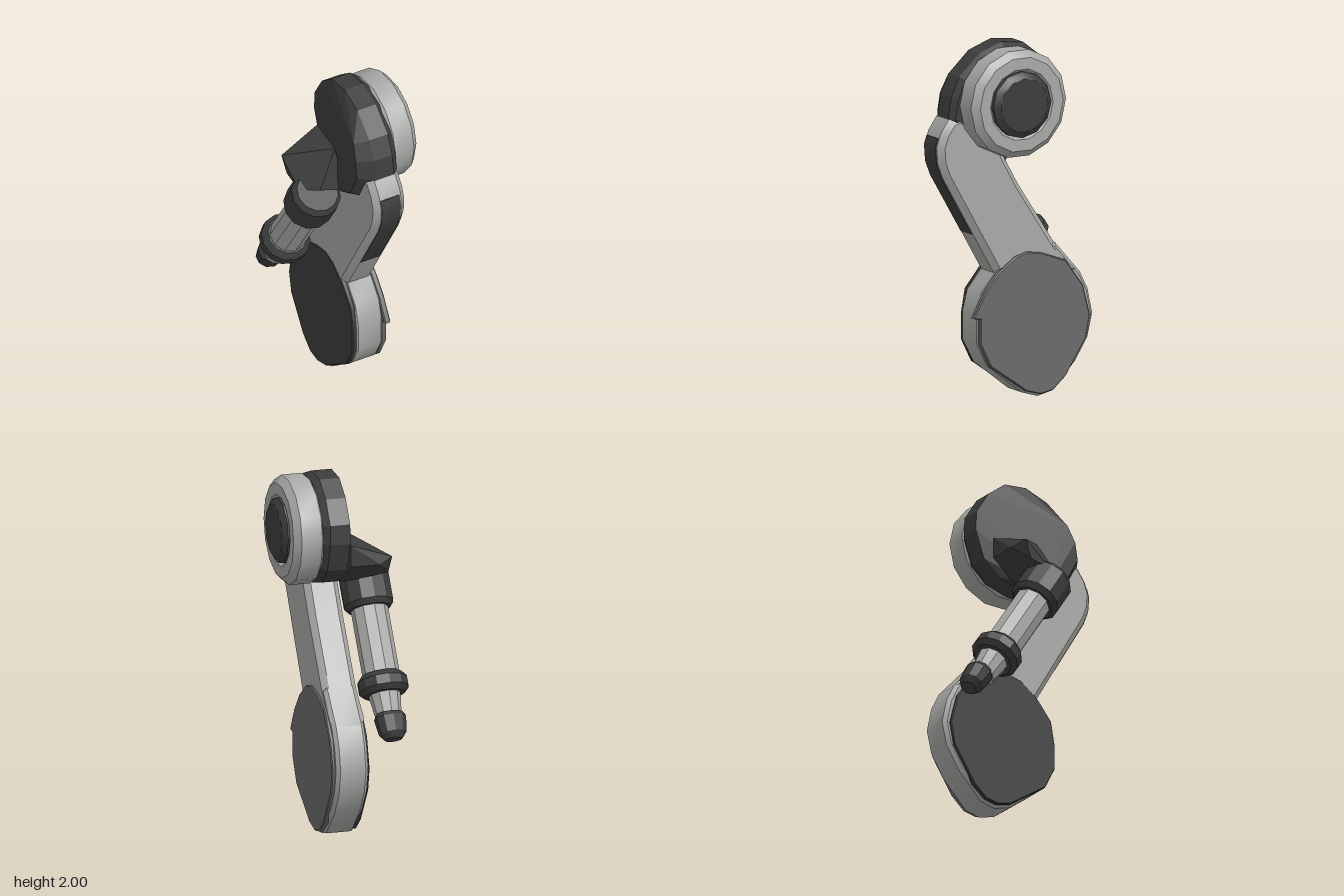
import * as THREE from 'three';
import { ConvexGeometry } from 'three/addons/geometries/ConvexGeometry.js';
import { toCreasedNormals } from 'three/addons/utils/BufferGeometryUtils.js';

const light = new THREE.MeshStandardMaterial({ color: 0xa8a8a6 });
light.name = 'light grey metal';
const mid = new THREE.MeshStandardMaterial({ color: 0x6a6a6a });
mid.name = 'mid grey metal';
const dark = new THREE.MeshStandardMaterial({ color: 0x3c3c3c });
dark.name = 'dark rubber';

const v2 = (list) => list.map(([a, b]) => new THREE.Vector2(a, b));
const clamp01 = (t) => THREE.MathUtils.clamp(t, 0, 1);

// Side outline of [z, y] points, extruded between x0 and x1
function slab(outline, x0, x1, bevel) {
  const geo = new THREE.ExtrudeGeometry(new THREE.Shape(v2(outline)), {
    depth: x1 - x0 - 2 * bevel, bevelEnabled: bevel > 0, bevelSegments: 1,
    bevelSize: bevel, bevelThickness: bevel, bevelOffset: -bevel,
  });
  return toCreasedNormals(geo.rotateY(-Math.PI / 2).translate(x1 - bevel, 0, 0), 0.6);
}

// Turned part from [radius, height] points; under 13 sides it stays faceted
function turned(profile, sides) {
  return toCreasedNormals(new THREE.LatheGeometry(v2(profile), sides), 0.5);
}

export function createModel() {
  const model = new THREE.Group();
  const add = (name, geo, mat, parent = model) => {
    const mesh = new THREE.Mesh(geo, mat);
    mesh.name = name;
    parent.add(mesh);
    return mesh;
  };

  // Upper arm, slightly thicker than the round lower end
  add('upperArm', slab([
    [0.42, 1.6], [0.36, 1.62], [0.1, 1.42], [0.07, 1.36], [-0.02, 1.2], [-0.25, 0.85],
    [-0.41, 0.67], [0.13, 0.71], [0.46, 1.28], [0.49, 1.36], [0.497, 1.45], [0.47, 1.53],
  ], -0.047, 0.15, 0.033), light);
  add('lowerArm', slab([
    [-0.25, 0.85], [-0.41, 0.67], [-0.46, 0.57], [-0.49, 0.43], [-0.46, 0.3], [-0.38, 0.17],
    [-0.23, 0.02], [-0.14, 0], [-0.04, 0.03], [0.18, 0.2], [0.25, 0.33], [0.25, 0.5],
    [0.22, 0.61], [0.13, 0.72], [0.1, 0.8],
  ], -0.037, 0.148, 0.02), light);

  // Dark pad along the front edge of the arm
  add('frontPad', slab([
    [0.46, 1.5], [0.485, 1.45], [0.475, 1.36], [0.445, 1.285], [0.25, 0.945],
    [0.266, 0.94], [0.464, 1.279], [0.494, 1.359], [0.501, 1.451], [0.485, 1.5],
  ], -0.012, 0.108, 0), dark);

  // Shoulder housing, its inner side slanting outwards to the front
  const headOutline = [
    [0.42, 1.6], [0.4, 1.72], [0.35, 1.83], [0.22, 1.95], [0.08, 2], [-0.06, 1.985],
    [-0.17, 1.9], [-0.25, 1.77], [-0.255, 1.66], [-0.2, 1.5], [-0.1, 1.41], [0.05, 1.37],
    [0.2, 1.36], [0.33, 1.43],
  ];
  const headPoints = headOutline.flatMap(([z, y]) => {
    const slant = clamp01((z + 0.2) / 0.4) * clamp01((2 - y) / 0.2);
    return [
      new THREE.Vector3(0.145, 1.68 + (y - 1.68) * 0.92, 0.07 + (z - 0.07) * 0.92),
      new THREE.Vector3(0.11, y, z),
      new THREE.Vector3(-0.005, y, z),
      new THREE.Vector3(-0.01 - 0.082 * slant, 1.66 + (y - 1.66) * 0.85, 0.07 + (z - 0.07) * 0.85),
    ];
  });
  add('shoulderHousing', new ConvexGeometry(headPoints), dark);

  // Shoulder disc with recessed ring and hub
  const shoulder = new THREE.Group();
  shoulder.name = 'shoulderDisc';
  shoulder.position.set(0, 1.68, 0.065);
  shoulder.rotation.z = -Math.PI / 2;
  model.add(shoulder);
  add('discRim', turned([
    [0, 0.13], [0.285, 0.13], [0.304, 0.15], [0.304, 0.268], [0.265, 0.304],
    [0.2, 0.304], [0.184, 0.285], [0, 0.285],
  ], 14), light, shoulder);
  add('discHub', turned([[0.185, 0.27], [0.185, 0.308], [0.15, 0.333], [0, 0.333]], 12), dark, shoulder);

  // Round covers on both faces of the lower end
  const cover = [
    [0.29, 0.48], [0.22, 0.61], [0.13, 0.72], [0.02, 0.8], [-0.06, 0.82], [-0.15, 0.805],
    [-0.3, 0.75], [-0.41, 0.6], [-0.455, 0.43], [-0.43, 0.3], [-0.3, 0.1], [-0.22, 0.03],
    [-0.14, 0.015], [-0.05, 0.04], [0.18, 0.2], [0.245, 0.33], [0.245, 0.47],
  ];
  add('outerCover', slab(cover, 0.13, 0.166, 0.006), mid);
  add('innerCover', slab(cover.slice(1), -0.051, -0.02, 0.005), dark);

  // Wedge joining the housing to the piston
  add('pistonBracket', new ConvexGeometry([
    [-0.29, 1.53, -0.12], [-0.21, 1.5, -0.16], [-0.04, 1.62, -0.16], [-0.04, 1.5, -0.16],
    [-0.04, 1.38, -0.02], [-0.08, 1.64, 0.1], [-0.2, 1.43, 0.15], [-0.04, 1.38, 0.15],
    [-0.28, 1.4, 0.05], [-0.28, 1.43, -0.08],
  ].map((p) => new THREE.Vector3(...p))), dark);

  // Slanted piston: collars, rod and tip on one axis
  const piston = new THREE.Group();
  piston.name = 'piston';
  piston.position.set(-0.195, 1.212, -0.007);
  piston.rotation.x = 0.571;
  model.add(piston);
  add('upperCollar', turned([
    [0, -0.005], [0.118, -0.005], [0.141, 0.025], [0.141, 0.19], [0.118, 0.22], [0, 0.22],
  ], 12), dark, piston);
  add('pistonRod', turned([[0, -0.45], [0.103, -0.45], [0.103, 0.01], [0, 0.01]], 10), light, piston);
  add('lowerCollar', turned([
    [0, -0.5], [0.113, -0.5], [0.141, -0.472], [0.141, -0.418], [0.113, -0.385], [0, -0.385],
  ], 12), dark, piston);
  add('lowerRod', turned([[0, -0.63], [0.072, -0.63], [0.09, -0.49], [0, -0.49]], 10), light, piston);

  // Flattened tip set towards the back of the rod
  const tip = add('pistonTip', turned([
    [0, -0.77], [0.05, -0.765], [0.078, -0.73], [0.09, -0.64], [0.075, -0.615], [0, -0.615],
  ], 10), dark, piston);
  tip.position.z = -0.022;
  tip.scale.z = 0.88;

  return model;
}
